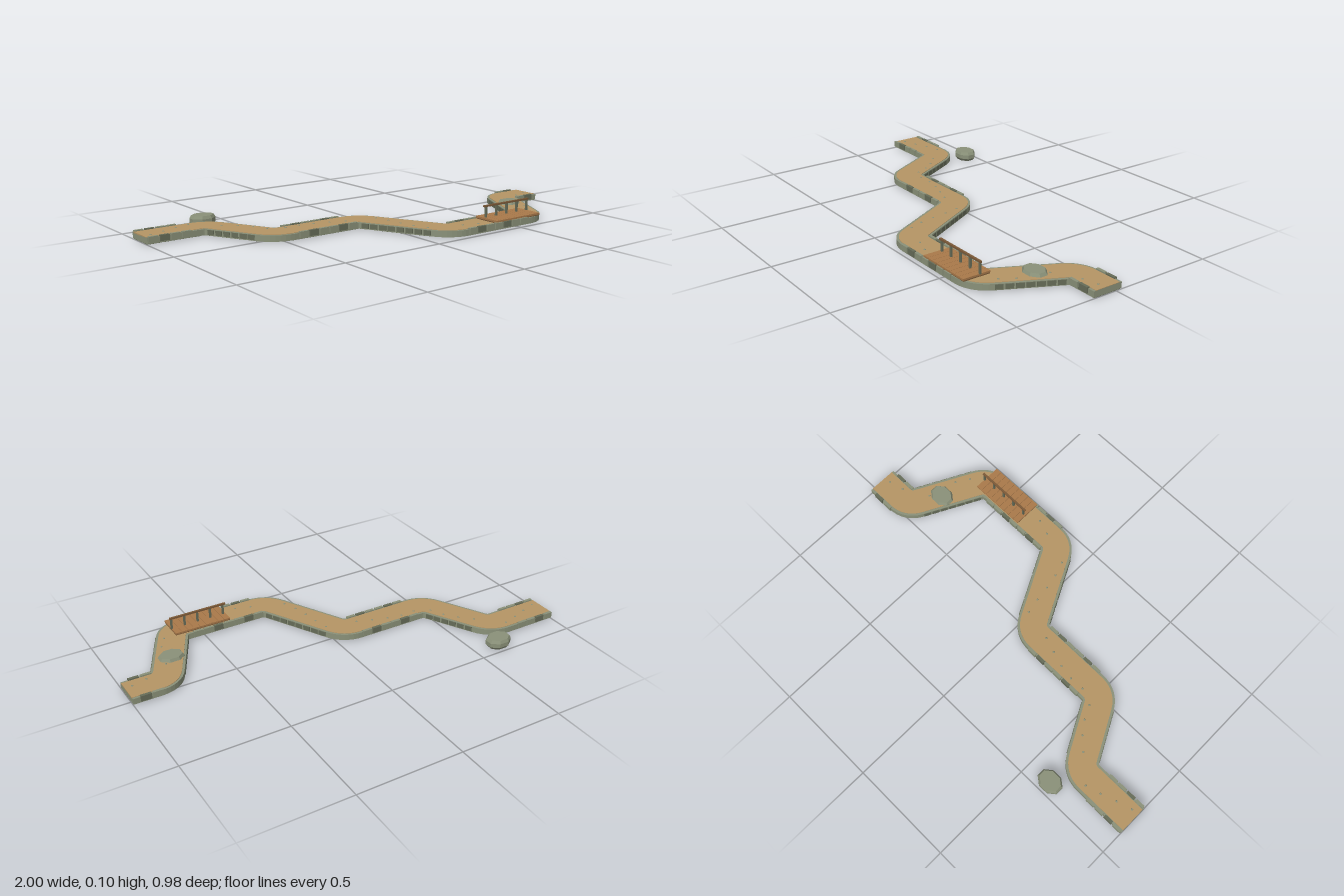
import * as THREE from 'three';

const mat = (name, color) => {
  const m = new THREE.MeshStandardMaterial({ color });
  m.name = name;
  return m;
};

// Corners of the path's centre line, as x and z
const CORNERS = [
  [-1, -0.313], [-0.681, -0.313], [-0.514, 0.003], [-0.066, 0.004],
  [0.143, 0.407], [0.63, 0.407], [0.815, 0.045], [1, 0.045],
].map(([x, z]) => new THREE.Vector2(x, z));
const HALF = 0.074;

// Centre line with rounded bends
function centreLine() {
  const path = new THREE.Path().moveTo(CORNERS[0].x, CORNERS[0].y);
  for (let i = 1; i < CORNERS.length - 1; i++) {
    const c = CORNERS[i];
    const towards = (p) => c.clone().add(p.clone().sub(c).setLength(0.055));
    const a = towards(CORNERS[i - 1]), b = towards(CORNERS[i + 1]);
    path.lineTo(a.x, a.y);
    path.quadraticCurveTo(c.x, c.y, b.x, b.y);
  }
  path.lineTo(1, 0.045);
  return path.getPoints(8);
}

// Winding slab of a given half width between two heights
function ribbon(points, half, bottom, top) {
  const offset = (side) => points.map((p, i) => {
    const before = points[Math.max(i - 1, 0)], after = points[Math.min(i + 1, points.length - 1)];
    const d = after.clone().sub(before).normalize();
    return new THREE.Vector2(p.x - d.y * side * half, p.y + d.x * side * half);
  });
  const shape = new THREE.Shape([...offset(-1), ...offset(1).reverse()]);
  const g = new THREE.ExtrudeGeometry(shape, { depth: top - bottom, bevelEnabled: false });
  return g.rotateX(Math.PI / 2).translate(0, top, 0);
}

export function createModel() {
  const model = new THREE.Group();
  model.name = 'windingPath';
  const stone = mat('mossy stone', 0x8a9179);
  const darkStone = mat('dark stone', 0x666c58);
  const dirt = mat('packed dirt', 0xb59565);
  const wood = mat('plank wood', 0xa9794a);
  const darkWood = mat('rail wood', 0x7c5a38);

  const add = (parent, name, geometry, material, x = 0, y = 0, z = 0, turn = 0) => {
    const mesh = new THREE.Mesh(geometry, material);
    mesh.name = name;
    mesh.position.set(x, y, z);
    mesh.rotation.y = turn;
    parent.add(mesh);
    return mesh;
  };
  const group = (name) => {
    const g = new THREE.Group();
    g.name = name;
    model.add(g);
    return g;
  };
  const box = (w, h, d) => new THREE.BoxGeometry(w, h, d);

  // Stone bed with dirt surface
  const line = centreLine();
  add(model, 'stoneBed', ribbon(line, HALF, 0.004, 0.032), stone);
  add(model, 'dirtSurface', ribbon(line, HALF - 0.011, 0.028, 0.034), dirt);

  // Kerb stones along the straight stretches
  const kerbs = group('kerbStones');
  const runs = [[-1, -0.79, -0.313, 4], [-0.44, -0.12, 0.004, 6], [0.19, 0.56, 0.407, 7], [0.855, 0.97, 0.045, 2]];
  for (const [x0, x1, z, count] of runs) {
    const pitch = (x1 - x0) / count;
    for (let i = 0; i < count; i++) {
      for (const side of [-1, 1]) {
        add(kerbs, 'kerbStone', box(pitch - 0.008, 0.027, 0.014), i % 3 === 1 ? darkStone : stone,
          x0 + pitch * (i + 0.5), 0.0245, z + side * (HALF - 0.001));
      }
    }
  }

  // Wall blocks on the slanting stretches, pebbles and ribs under every stretch
  const walls = group('wallBlocks'), pebbles = group('pebbles'), ribs = group('undersideRibs');
  const pebble = new THREE.CylinderGeometry(0.004, 0.006, 0.003, 6);
  for (let s = 0; s < CORNERS.length - 1; s++) {
    const a = CORNERS[s], b = CORNERS[s + 1];
    const length = a.distanceTo(b), d = b.clone().sub(a).normalize();
    const turn = -Math.atan2(d.y, d.x);
    const at = (along, across) => [a.x + d.x * along - d.y * across, a.y + d.y * along + d.x * across];
    const start = s === 0 ? 0.01 : 0.055, end = length - (s === 6 ? 0.01 : 0.055);

    if (s % 2 === 1) {
      const count = Math.round((end - start) / 0.042), pitch = (end - start) / count;
      for (let i = 0; i < count; i++) {
        for (const side of [-1, 1]) {
          const [x, z] = at(start + pitch * (i + 0.5), side * (HALF - 0.002));
          add(walls, 'wallBlock', box(pitch - 0.008, 0.022, 0.01), darkStone, x, 0.019, z, turn);
        }
      }
    }
    for (let t = start, i = 0; t <= end; t += 0.024, i++) {
      const [x, z] = at(t, 0);
      add(ribs, 'rib', box(0.018, 0.004, HALF * 2 - 0.014), darkStone, x, 0.0035, z, turn);
      if (i % 3 === 1) {
        const [px, pz] = at(t, 0.042 * Math.sin(i * 2.3 + s));
        add(pebbles, 'pebble', pebble, stone, px, 0.035, pz, i);
      }
    }
  }

  // Timber deck of close-set planks
  const deck = group('timberDeck');
  const planks = 9, pitch = 0.28 / planks;
  add(deck, 'deckBase', box(0.276, 0.006, 0.13), darkWood, 0.5, 0.037, 0.414);
  for (let i = 0; i < planks; i++) {
    add(deck, 'plank', box(pitch - 0.0015, 0.008, 0.136), wood, 0.36 + pitch * (i + 0.5), 0.043, 0.414);
  }

  // Handrail on five posts
  const railing = group('railing');
  for (let i = 0; i < 5; i++) {
    add(railing, 'post', box(0.009, 0.054, 0.009), darkStone, 0.374 + i * 0.066, 0.072, 0.398);
  }
  add(railing, 'handrail', box(0.285, 0.008, 0.01), darkWood, 0.503, 0.1, 0.398);

  // Faceted boulders, one beside the path and one in it
  const profile = [[0, 0], [0.05, 0], [0.063, 0.014], [0.063, 0.034], [0.054, 0.048], [0, 0.048]];
  const boulder = new THREE.LatheGeometry(profile.map(([r, y]) => new THREE.Vector2(r, y)), 8)
    .rotateY(Math.PI / 8).scale(1, 1, 0.78).toNonIndexed();
  boulder.computeVertexNormals();
  add(model, 'boulder', boulder, stone, -0.625, 0, -0.445);
  add(model, 'boulder', boulder, stone, 0.73, 0, 0.193);

  return model;
}
